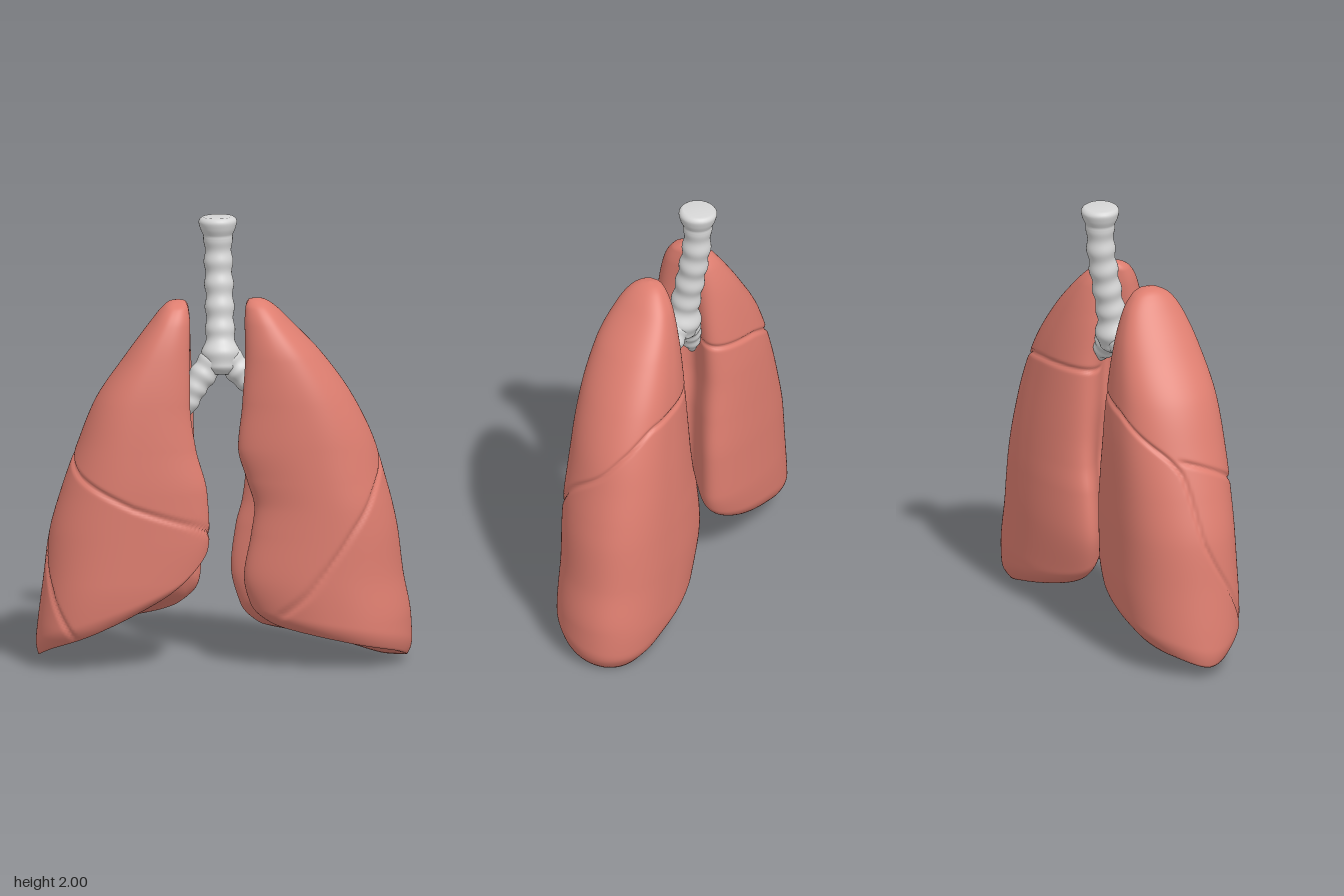
import * as THREE from 'three';
import { mergeVertices } from 'three/addons/utils/BufferGeometryUtils.js';

const RAD = Math.PI / 180;

// Smooth interpolation of column c in rows sorted by their first value
function interp(rows, x, c = 1) {
  const n = rows.length - 1;
  if (x <= rows[0][0]) return rows[0][c];
  if (x >= rows[n][0]) return rows[n][c];
  let i = 0;
  while (x > rows[i + 1][0]) i++;
  const slope = (a, b) => (rows[b][c] - rows[a][c]) / (rows[b][0] - rows[a][0]);
  const h = rows[i + 1][0] - rows[i][0], t = (x - rows[i][0]) / h;
  const tangent = k => {
    if (k === 0 || k === n) return slope(i, i + 1);
    const a = slope(k - 1, k), b = slope(k, k + 1);
    return a * b <= 0 ? 0 : 2 * a * b / (a + b);
  };
  const t2 = t * t, t3 = t2 * t;
  return (2 * t3 - 3 * t2 + 1) * rows[i][c] + (t3 - 2 * t2 + t) * h * tangent(i)
    + (3 * t2 - 2 * t3) * rows[i + 1][c] + (t3 - t2) * h * tangent(i + 1);
}

// Closed rings joined into a smooth skin; point(i, j) gives ring j, corner i
function skin(cols, rows, point, flip) {
  const pos = [], index = [];
  for (let j = 0; j <= rows; j++) for (let i = 0; i < cols; i++) pos.push(...point(i, j));
  for (let j = 0; j < rows; j++) for (let i = 0; i < cols; i++) {
    const k = (i + 1) % cols;
    const a = j * cols + i, b = j * cols + k, c = (j + 1) * cols + k, d = (j + 1) * cols + i;
    if (flip) index.push(a, b, d, b, c, d);
    else index.push(a, d, b, b, d, c);
  }
  let g = new THREE.BufferGeometry();
  g.setAttribute('position', new THREE.Float32BufferAttribute(pos, 3));
  g.setIndex(index);
  g = mergeVertices(g, 1e-5);
  g.computeVertexNormals();
  return g;
}

// Depth of the hollow on the inner face, by height
const HOLLOW = [[0, 0], [0.2, 0.05], [0.45, 0.085], [0.7, 0.095], [1.2, 0.095], [1.45, 0.06], [1.63, 0.02]];

// Angles run: 0 outer, 90 front, 180 inner, -90 back
function lungGeometry(side, { sections, base, fissures, lean, taper }) {
  const cols = 132, baseRows = 14, sideRows = 195;
  const top = sections[sections.length - 1][0];

  function wall(deg, t) {
    const rim = interp(base, deg), y = rim + (top - rim) * t;
    const [xo, xf, xb, zf, zb] = [1, 2, 3, 4, 5].map(c => interp(sections, y, c));
    const c = Math.cos(deg * RAD), s = Math.sin(deg * RAD);
    const n = 2.6 - 0.5 * c;
    const r = Math.pow(Math.pow(Math.abs(c), n) + Math.pow(Math.abs(s), n), -1 / n);
    const inner = THREE.MathUtils.lerp(xb, xf, THREE.MathUtils.smoothstep(s, -0.7, 0.7));
    const mid = (xo + inner) / 2, zm = (zf + zb) / 2, hollow = interp(HOLLOW, y);
    const halfX = (xo - inner) / 2, halfZ = (zf - zb) / 2;
    let dx = c * r * halfX, dz = s * r * halfZ;
    if (c < 0) {
      // Inner side thins out and is hollowed between two rounded lips
      dx = dx * (1 + 3.3 * hollow) + 6 * hollow * halfX * Math.pow(c, 6);
      dz *= 1 - taper * c * c;
    } else dz += lean * halfZ * c * c;
    // Rounded lower rim, softest on the inner side
    const edge = Math.max(0, 1 - t / 0.05);
    let shrink = 1 - (0.1 - 0.04 * c) * edge * edge;
    // Grooves between the lobes
    for (const f of fissures) {
      const end = f[f.length - 1][0];
      if (deg < f[0][0] || deg > end) continue;
      const slope = (interp(f, deg + 1) - interp(f, deg - 1)) / (2 * RAD) / 0.36;
      const d = (y - interp(f, deg)) / (0.011 * Math.hypot(1, slope));
      const fade = Math.min(1, (deg - f[0][0]) / 10, (end - deg) / 8);
      shrink -= 0.012 * fade * Math.exp(-d * d) / Math.max(0.12, Math.hypot(dx, dz));
    }
    return [side * (mid + dx * shrink), y, zm + dz * shrink];
  }

  // Rim of the underside, its centre, and the tilt of its best plane
  const rim = [], centre = [0, 0, 0];
  let tiltC = 0, tiltS = 0;
  const angle = i => -180 + 360 * i / cols;
  for (let i = 0; i < cols; i++) {
    rim.push(wall(angle(i), 0));
    rim[i].forEach((v, k) => { centre[k] += v / cols; });
    tiltC += rim[i][1] * Math.cos(angle(i) * RAD) * 2 / cols;
    tiltS += rim[i][1] * Math.sin(angle(i) * RAD) * 2 / cols;
  }
  return skin(cols, baseRows + sideRows, (i, j) => {
    if (j < baseRows) {
      // Slightly hollow underside
      const k = j / baseRows;
      const p = rim[i].map((v, a) => THREE.MathUtils.lerp(centre[a], v, k));
      const plane = tiltC * Math.cos(angle(i) * RAD) + tiltS * Math.sin(angle(i) * RAD);
      p[1] = centre[1] + k * plane + k * k * (rim[i][1] - centre[1] - plane) + 0.02 * (1 - k * k);
      return p;
    }
    const v = (j - baseRows) / sideRows;
    return wall(angle(i), 1 - Math.pow(1 - v, 1.3));
  }, side < 0);
}

// Tube along a smooth path, closed at both ends, with a radius rule
function tubeGeometry(points, rows, radius) {
  const curve = new THREE.CatmullRomCurve3(points.map(p => new THREE.Vector3(...p)));
  const frames = curve.computeFrenetFrames(rows, false), cols = 32;
  return skin(cols, rows + 2, (i, j) => {
    const k = THREE.MathUtils.clamp(j - 1, 0, rows);
    const r = j === 0 || j === rows + 2 ? 0 : radius(k / rows);
    const a = 2 * Math.PI * i / cols;
    return curve.getPointAt(k / rows)
      .addScaledVector(frames.normals[k], r * Math.cos(a))
      .addScaledVector(frames.binormals[k], r * Math.sin(a)).toArray();
  }, true);
}

// Section rows: height, outer x, inner x at front, inner x at back, front z, back z
const LEFT = {
  lean: -0.16, taper: 0.42,
  sections: [
    [0, 0.83, 0.30, 0.20, 0.20, -0.23], [0.06, 0.84, 0.22, 0.14, 0.225, -0.255],
    [0.2, 0.835, 0.14, 0.08, 0.24, -0.268], [0.4, 0.80, 0.085, 0.035, 0.245, -0.268],
    [0.6, 0.775, 0.12, 0.06, 0.245, -0.262], [0.72, 0.75, 0.135, 0.09, 0.245, -0.255],
    [0.85, 0.715, 0.10, 0.105, 0.245, -0.245], [1.0, 0.67, 0.06, 0.11, 0.245, -0.23],
    [1.2, 0.575, 0.078, 0.115, 0.238, -0.205], [1.4, 0.435, 0.085, 0.10, 0.215, -0.16],
    [1.55, 0.295, 0.082, 0.095, 0.165, -0.105], [1.62, 0.225, 0.088, 0.093, 0.12, -0.055],
    [1.65, 0.18, 0.105, 0.105, 0.075, -0.015], [1.66, 0.145, 0.145, 0.145, 0.03, 0.03],
  ],
  base: [[-180, 0.24], [-135, 0.14], [-90, 0.06], [-45, 0], [0, 0.02], [45, 0.075],
    [90, 0.13], [135, 0.19], [180, 0.24]],
  fissures: [[[-165, 1.16], [-110, 1.17], [-60, 1.15], [-25, 1.04], [0, 0.94], [36, 0.82],
    [66, 0.65], [84, 0.5], [102, 0.34], [128, 0.21]]],
};
const RIGHT = {
  lean: 0.08, taper: 0.18,
  sections: [
    [0.04, 0.85, 0.30, 0.25, 0.19, -0.19], [0.2, 0.835, 0.22, 0.16, 0.25, -0.23],
    [0.4, 0.81, 0.12, 0.10, 0.265, -0.24], [0.6, 0.785, 0.08, 0.10, 0.265, -0.24],
    [0.8, 0.73, 0.09, 0.115, 0.265, -0.235], [1.0, 0.66, 0.14, 0.135, 0.258, -0.225],
    [1.2, 0.58, 0.165, 0.14, 0.243, -0.20], [1.4, 0.445, 0.16, 0.145, 0.21, -0.16],
    [1.55, 0.335, 0.155, 0.15, 0.165, -0.105], [1.62, 0.28, 0.163, 0.16, 0.12, -0.055],
    [1.645, 0.25, 0.175, 0.175, 0.075, -0.015], [1.655, 0.21, 0.21, 0.21, 0.03, 0.03],
  ],
  base: [[-180, 0.42], [-150, 0.28], [-120, 0.2], [-90, 0.16], [-45, 0.1], [0, 0.05], [45, 0.105],
    [90, 0.2], [120, 0.32], [148, 0.5], [165, 0.5], [180, 0.42]],
  fissures: [
    [[-165, 1.2], [-90, 1.15], [-45, 1.04], [-20, 0.93], [-3, 0.6], [28, 0.36], [66, 0.13]],
    [[-22, 0.98], [0, 0.95], [45, 0.86], [88, 0.75], [120, 0.67], [150, 0.6]],
  ],
};

export function createModel() {
  const model = new THREE.Group();
  const tissue = new THREE.MeshStandardMaterial({ color: 0xde7e70 });
  tissue.name = 'lung pink';
  const cartilage = new THREE.MeshStandardMaterial({ color: 0xd6d6d6 });
  cartilage.name = 'cartilage grey';
  const add = (name, geometry, material) => {
    const mesh = new THREE.Mesh(geometry, material);
    mesh.name = name;
    model.add(mesh);
  };

  add('leftLung', lungGeometry(1, LEFT), tissue);
  add('rightLung', lungGeometry(-1, RIGHT), tissue);

  // Windpipe with rings, a flared, rounded top and a wide fork
  const flare = [[0, 0.068], [0.012, 0.08], [0.03, 0.086], [0.07, 0.08], [0.14, 0.062],
    [0.74, 0.064], [0.88, 0.085], [0.95, 0.078], [1, 0.04]];
  add('trachea', tubeGeometry(
    [[-0.025, 2, -0.12], [-0.022, 1.8, -0.114], [-0.018, 1.6, -0.082], [-0.015, 1.3, -0.025]], 110,
    t => interp(flare, t) + (t > 0.12 ? 0.004 * Math.cos(2 * Math.PI * t * 7) : 0)), cartilage);

  // Ringed branches into each lung
  const branch = [[0, 0.06], [0.3, 0.06], [0.6, 0.052], [0.85, 0.037], [1, 0.012]];
  const ringed = t => interp(branch, t) + 0.003 * Math.cos(2 * Math.PI * t * 5);
  add('rightBronchus', tubeGeometry(
    [[-0.02, 1.41, -0.045], [-0.075, 1.33, -0.03], [-0.13, 1.245, -0.015], [-0.18, 1.11, 0]], 50, ringed), cartilage);
  add('leftBronchus', tubeGeometry(
    [[-0.01, 1.41, -0.045], [0.045, 1.34, -0.035], [0.1, 1.275, -0.03], [0.2, 1.2, -0.03]], 50, ringed), cartilage);
  return model;
}
